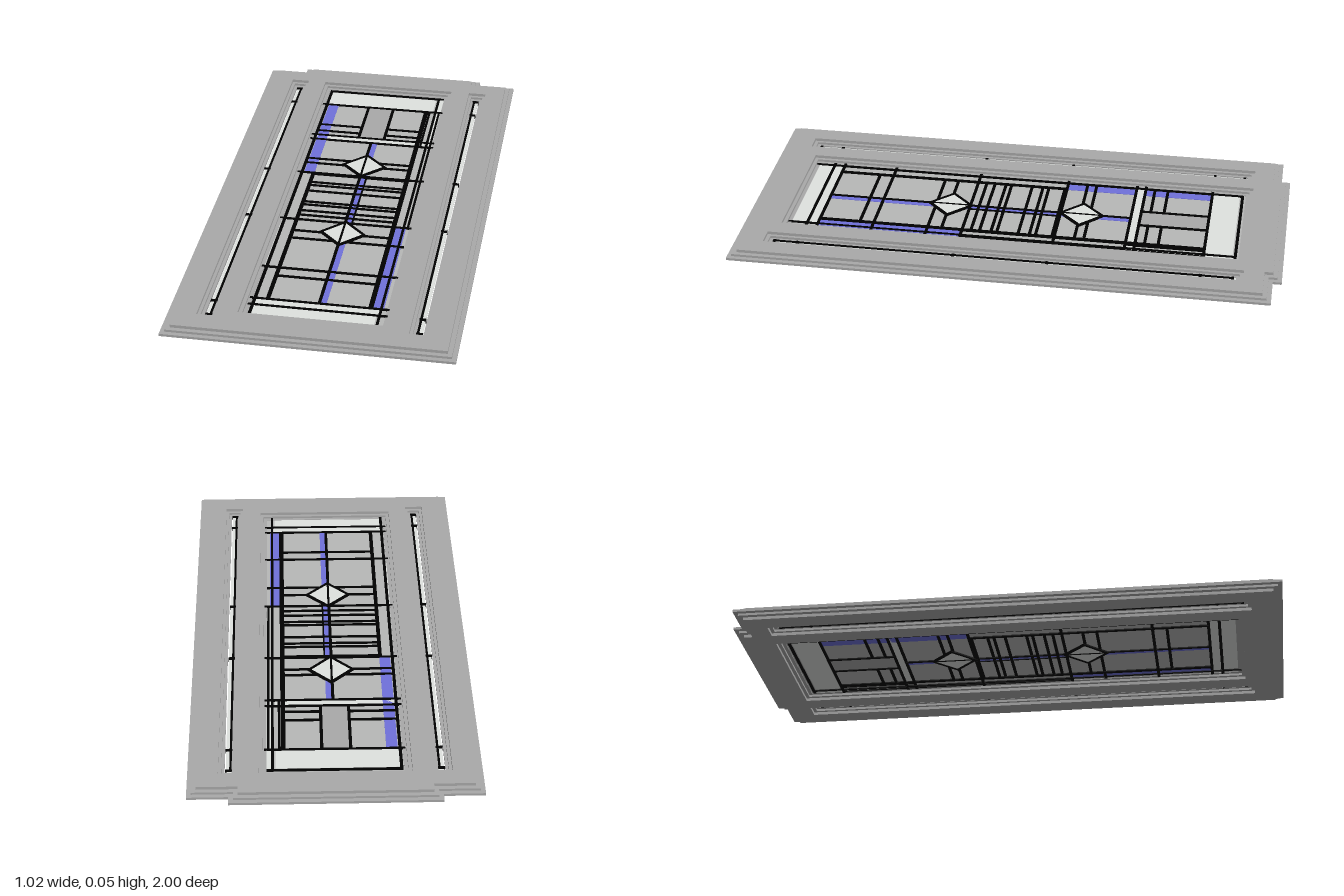
import * as THREE from 'three';

const MID = 0.024; // height of the glass plane

function material(name, color) {
  const m = new THREE.MeshStandardMaterial({ color });
  m.name = name;
  return m;
}

export function createModel() {
  const model = new THREE.Group();
  model.name = 'leadedGlassPanel';
  const grey = material('frameGrey', 0xaaaaaa);
  const glass = material('clearGlass', 0xb8b9b8);
  const pale = material('paleGlass', 0xe0e3e0);
  const blue = material('blueGlass', 0x7072dc);
  const black = material('leadBlack', 0x000000);

  // Flat block from x0..x1, z0..z1, centred on the glass plane
  function slab(parent, name, mat, x0, x1, z0, z1, h) {
    const mesh = new THREE.Mesh(new THREE.BoxGeometry(x1 - x0, h, z1 - z0), mat);
    mesh.position.set((x0 + x1) / 2, MID, (z0 + z1) / 2);
    mesh.name = name;
    parent.add(mesh);
  }

  function rectHole(x0, x1, z0, z1) {
    return new THREE.Path([[x0, z0], [x0, z1], [x1, z1], [x1, z0]].map(p => new THREE.Vector2(...p)));
  }

  // Frame: three nested layers, each thicker and set back further from every edge
  const layers = [
    { d: 0, g: 0.026, h: 0.009 },
    { d: 0.016, g: 0.013, h: 0.026 },
    { d: 0.032, g: 0, h: 0.048 },
  ];
  layers.forEach(({ d, g, h }, i) => {
    const w = 0.508 - d, t = 0.365 - d, top = -1 + d, shoulder = -0.968 + d, bottom = 1 - d;
    const shape = new THREE.Shape([
      [-w, bottom], [-w, shoulder], [-t, shoulder], [-t, top],
      [t, top], [t, shoulder], [w, shoulder], [w, bottom],
    ].map(p => new THREE.Vector2(...p)));
    shape.holes.push(rectHole(-0.265 + g, 0.262 - g, -0.863 + g, 0.855 - g));
    for (const s of [-1, 1]) {
      const c = s * 0.368, hw = 0.034 - g * 0.85;
      shape.holes.push(rectHole(c - hw, c + hw, -0.863 + g, 0.889 - g));
    }
    const geo = new THREE.ExtrudeGeometry(shape, { depth: h, bevelEnabled: false });
    geo.rotateX(Math.PI / 2);
    const mesh = new THREE.Mesh(geo, grey);
    mesh.position.y = MID + h / 2;
    mesh.name = 'frameLayer' + (i + 1);
    model.add(mesh);
  });

  // Glass panes
  const panes = new THREE.Group();
  panes.name = 'glassPanes';
  model.add(panes);
  slab(panes, 'mainGlass', glass, -0.245, 0.242, -0.842, 0.842, 0.004);
  slab(panes, 'greyPane', grey, -0.058, 0.043, -0.71, -0.455, 0.006);
  [
    [-0.225, 0.205, -0.815, -0.715],
    [-0.225, 0.205, -0.45, -0.42],
    [-0.225, 0.21, 0.735, 0.765],
    [-0.225, 0.205, 0.775, 0.842],
    [-0.245, -0.236, 0.19, 0.53],
    [0.221, 0.24, -0.82, -0.42],
  ].forEach(p => slab(panes, 'palePane', pale, ...p, 0.007));
  [
    [-0.222, -0.182, -0.71, -0.155],
    [0.186, 0.224, 0.19, 0.73],
    [0.002, 0.022, -0.42, 0.73],
  ].forEach(p => slab(panes, 'bluePane', blue, ...p, 0.007));

  // Lead bars
  const leads = new THREE.Group();
  leads.name = 'leadBars';
  model.add(leads);
  const B = 0.011; // bar width
  const across = (z, x0, x1, w = B) => slab(leads, 'crossLead', black, x0, x1, z - w / 2, z + w / 2, 0.011);
  const along = (x, z0, z1, w = B) => slab(leads, 'longLead', black, x - w / 2, x + w / 2, z0, z1, 0.012);

  along(-0.23, -0.825, 0.842);
  along(-0.185, -0.155, 0.73, 0.014);
  along(0.178, -0.71, 0.73, 0.017);
  along(0.192, -0.71, -0.42, 0.008);
  along(0.215, -0.825, 0.842, 0.009);
  along(0.23, -0.71, 0.19, 0.008);
  along(-0.003, -0.42, 0.73, 0.011);
  along(0.022, -0.155, 0.19, 0.006);
  along(-0.058, -0.71, -0.455);
  along(0.043, -0.71, -0.455);

  [-0.71, -0.455, -0.42, -0.155, 0.19, 0.525, 0.73, 0.77].forEach(z => across(z, -0.248, 0.244));
  across(-0.825, -0.235, 0.235);
  [-0.085, -0.062, -0.02, 0.06, 0.082, 0.125, 0.157, 0.578].forEach(z => across(z, -0.185, 0.178));
  across(-0.145, -0.185, 0.178, 0.008);
  [-0.54, -0.49].forEach(z => {
    across(z, -0.23, -0.058);
    across(z, 0.043, 0.178);
  });
  [-0.265, -0.23].forEach(z => {
    const gap = z < -0.25 ? 0.05 : 0.078;
    across(z, -0.23, -gap);
    across(z, gap, 0.178);
  });
  across(0.268, -0.185, -0.078);
  across(0.268, 0.078, 0.178);
  across(0.32, -0.185, 0.235);

  // Pale diamonds with lead edges
  for (const z of [-0.235, 0.265]) {
    const diamond = new THREE.Group();
    diamond.name = 'diamond';
    diamond.position.z = z;
    diamond.rotation.y = Math.PI / 4;
    const r = 0.056;
    slab(diamond, 'diamondPane', pale, -r, r, -r, r, 0.013);
    for (const s of [-1, 1]) {
      slab(diamond, 'diamondLead', black, s * r - B / 2, s * r + B / 2, -r - B / 2, r + B / 2, 0.015);
      slab(diamond, 'diamondLead', black, -r, r, s * r - B / 2, s * r + B / 2, 0.015);
    }
    model.add(diamond);
    slab(model, 'diamondCentreLead', black, -0.006, 0.002, z - 0.075, z + 0.075, 0.0145);
  }

  // Narrow side windows: pale strip, a lead along it and short ties
  for (const s of [-1, 1]) {
    const side = new THREE.Group();
    side.name = s > 0 ? 'leftSideWindow' : 'rightSideWindow';
    slab(side, 'sidePane', pale, s * 0.362 - 0.014, s * 0.362 + 0.014, -0.84, 0.865, 0.005);
    slab(side, 'sideLead', black, s * 0.36 - 0.004, s * 0.36 + 0.004, -0.825, 0.857, 0.012);
    for (const z of [-0.825, -0.71, -0.155, 0.19, 0.77, 0.857]) {
      slab(side, 'sideTie', black, s * 0.366 - 0.012, s * 0.366 + 0.012, z - 0.005, z + 0.005, 0.014);
    }
    model.add(side);
  }

  return model;
}
